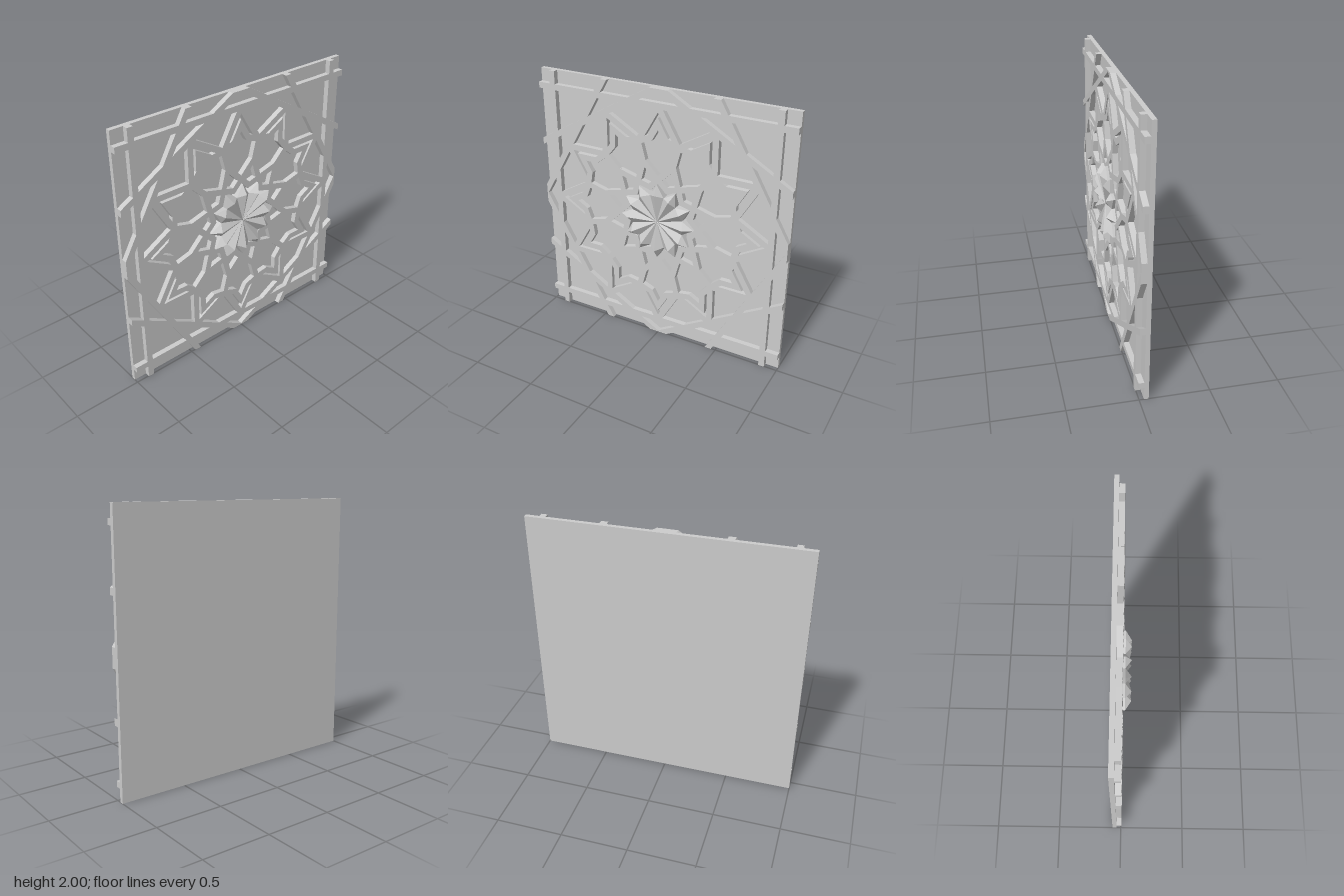
import * as THREE from 'three';

const HALF = 0.0225;                    // half the width of a strap
const BACK = -0.067, FLOOR = -0.034, TOP = 0.006;
const rad = Math.PI / 180;

// point at a compass angle (0 = up, clockwise) and distance from the centre
const polar = (deg, r) => new THREE.Vector2(r * Math.sin(deg * rad), r * Math.cos(deg * rad));

// cut a polygon to the square panel, one side at a time
function clipToPanel(points) {
  for (const [axis, sign] of [['x', 1], ['x', -1], ['y', 1], ['y', -1]]) {
    const out = [];
    points.forEach((p, i) => {
      const q = points[(i + 1) % points.length];
      const dp = 1 - sign * p[axis], dq = 1 - sign * q[axis];
      if (dp >= 0) out.push(p);
      if ((dp >= 0) !== (dq >= 0)) out.push(p.clone().lerp(q, dp / (dp - dq)));
    });
    points = out;
  }
  return points;
}

// mitred outline of constant width along a path
function ribbon(path) {
  const left = [], right = [];
  path.forEach((p, i) => {
    const a = path[Math.max(i - 1, 0)], b = path[Math.min(i + 1, path.length - 1)];
    const d1 = (i ? p.clone().sub(a) : b.clone().sub(p)).normalize();
    const d2 = (i < path.length - 1 ? b.clone().sub(p) : d1.clone()).normalize();
    const n = new THREE.Vector2(-d1.y - d2.y, d1.x + d2.x).normalize();
    const reach = HALF / (n.x * -d1.y + n.y * d1.x);
    left.push(p.clone().addScaledVector(n, reach));
    right.unshift(p.clone().addScaledVector(n, -reach));
  });
  return [...left, ...right];
}

// faceted twelve-petal boss: each petal has a ridge that peaks near its tip
function bossGeometry() {
  const v = [];
  const at = (deg, r, z) => { const p = polar(-deg, r); return [p.x, p.y, z]; };
  const tri = (...corners) => corners.forEach((c) => v.push(...c));
  const rim = 0.022, centre = [0, 0, 0.024];
  for (let i = 0; i < 12; i++) {
    const a = i * 30;
    const A = at(a - 15, 0.212, rim), T = at(a, 0.298, rim), B = at(a + 15, 0.212, rim);
    const P = at(a, 0.228, 0.067);
    tri(centre, A, P); tri(A, T, P); tri(T, B, P); tri(B, centre, P);
    for (const [s, e] of [[A, T], [T, B]]) {
      const s0 = [s[0], s[1], FLOOR], e0 = [e[0], e[1], FLOOR];
      tri(s0, e0, e); tri(s0, e, s);
    }
  }
  const g = new THREE.BufferGeometry();
  g.setAttribute('position', new THREE.Float32BufferAttribute(v, 3));
  g.computeVertexNormals();
  return g;
}

export function createModel() {
  const group = new THREE.Group();
  const material = new THREE.MeshStandardMaterial({ color: 0xcccccc, flatShading: true });
  const panel = new THREE.Group();
  panel.name = 'panel';
  panel.position.y = 1;
  group.add(panel);

  const add = (name, geometry) => {
    const mesh = new THREE.Mesh(geometry, material);
    mesh.name = name;
    panel.add(mesh);
    return mesh;
  };
  const strap = (name, path) => {
    const shape = new THREE.Shape(clipToPanel(ribbon(path)));
    const g = new THREE.ExtrudeGeometry(shape, { depth: TOP - FLOOR, bevelEnabled: false });
    add(name, g).position.z = FLOOR;
  };

  // backing plate
  add('backPlate', new THREE.BoxGeometry(2, 2, FLOOR - BACK)).position.z = (FLOOR + BACK) / 2;

  for (let i = 0; i < 12; i++) {
    const a = i * 30;

    // long straps: sides of a large dodecagon run out to the panel edge
    const mid = polar(a, 0.88), dir = polar(a + 90, 2);
    strap('borderStrap', [mid.clone().sub(dir), mid.clone().add(dir)]);

    // spoke between neighbouring petals
    strap('spokeStrap', [polar(a + 15, 0.455), polar(a + 15, 0.63)]);

    // crown with a raised point, closing the inner petal
    const c = (x, y) => polar(a + Math.atan2(x, y) / rad, Math.hypot(x, y));
    strap('crownStrap', [c(-0.161, 0.601), c(-0.065, 0.638), c(0, 0.75), c(0.065, 0.638), c(0.161, 0.601)]);

    for (const s of [-1, 1]) {
      // outer star: from each dodecagon side's middle to the spokes
      strap('outerStarStrap', [mid, polar(a + s * 15, 0.622)]);

      // inner star: crossing straps around the boss
      const from = polar(a - s * 15, 0.269), to = polar(a + s * 15, 0.467);
      const ext = to.clone().sub(from).normalize().multiplyScalar(0.013);
      strap('innerStarStrap', [from.sub(ext), to.add(ext)]);
    }
  }

  add('centreBoss', bossGeometry());
  return group;
}
